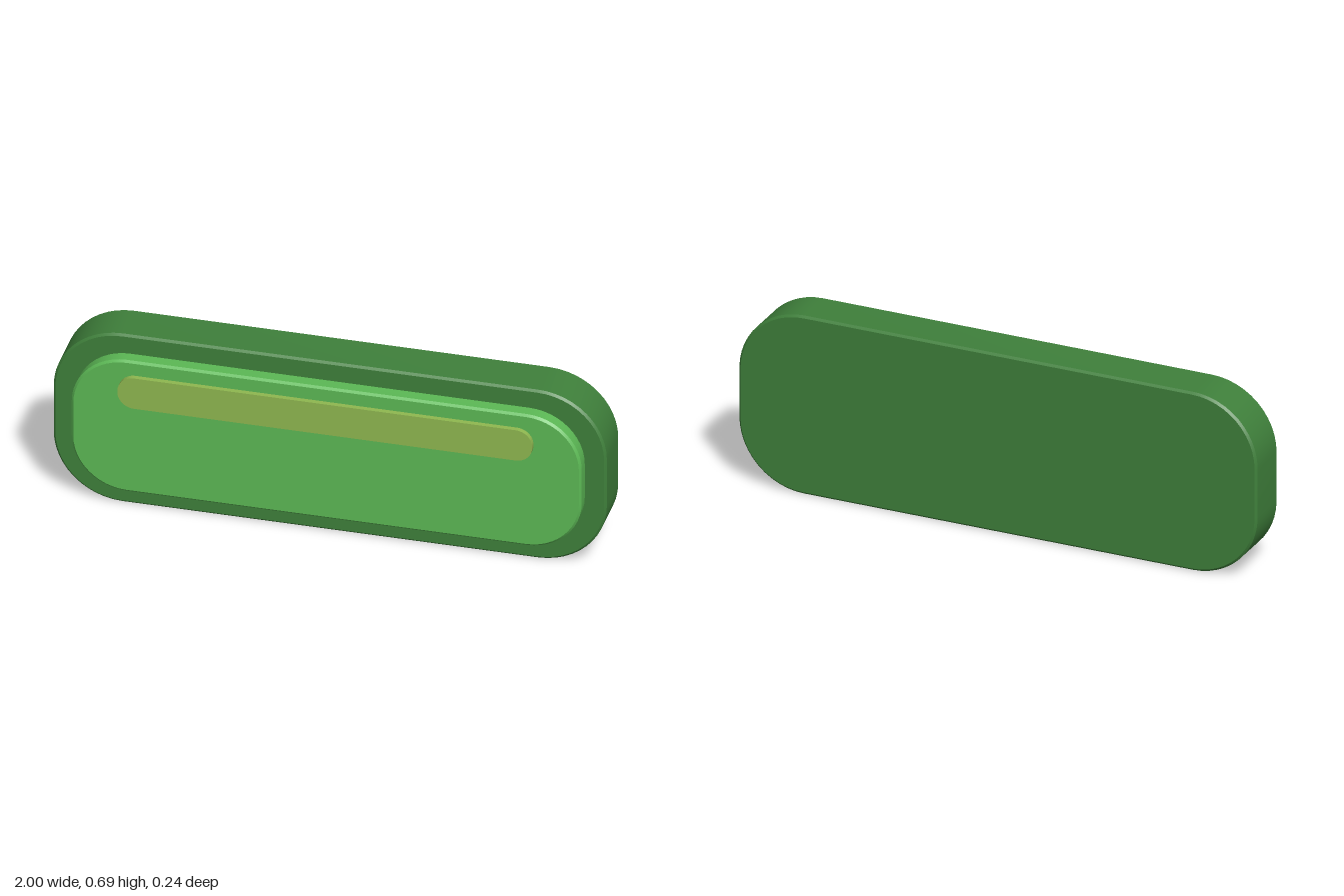
import * as THREE from 'three';
import { toCreasedNormals } from 'three/addons/utils/BufferGeometryUtils.js';

const mat = (name, color) => new THREE.MeshStandardMaterial({ name, color });

// Rounded rectangle centred on x = 0, from y0 to y1
function roundedRect(halfW, y0, y1, r) {
  const s = new THREE.Shape();
  s.absarc(halfW - r, y0 + r, r, -Math.PI / 2, 0);
  s.absarc(halfW - r, y1 - r, r, 0, Math.PI / 2);
  s.absarc(-halfW + r, y1 - r, r, Math.PI / 2, Math.PI);
  s.absarc(-halfW + r, y0 + r, r, Math.PI, Math.PI * 1.5);
  s.closePath();
  return s;
}

// Slab from z0 to z1 with a small bevel kept inside the given size
function slab(name, material, { halfW, y0, y1, r, z0, z1, bevel = 0 }) {
  const shape = roundedRect(halfW - bevel, y0 + bevel, y1 - bevel, r - bevel);
  const geo = new THREE.ExtrudeGeometry(shape, {
    depth: z1 - z0 - 2 * bevel,
    curveSegments: 6,
    bevelEnabled: bevel > 0,
    bevelThickness: bevel,
    bevelSize: bevel,
    bevelSegments: 1,
  });
  geo.translate(0, 0, z0 + bevel);
  const mesh = new THREE.Mesh(toCreasedNormals(geo, 0.6), material);
  mesh.name = name;
  return mesh;
}

export function createModel() {
  const group = new THREE.Group();
  group.name = 'button';
  group.add(
    // Dark backing plate
    slab('backPlate', mat('dark green', 0x3f803b),
      { halfW: 1, y0: 0, y1: 0.687, r: 0.25, z0: -0.121, z1: 0.052, bevel: 0.008 }),
    // Raised face
    slab('facePanel', mat('bright green', 0x5cb955),
      { halfW: 0.922, y0: 0.077, y1: 0.613, r: 0.2, z0: 0.03, z1: 0.103, bevel: 0.008 }),
    // Highlight strip near the top
    slab('highlightStrip', mat('yellow green', 0x8fb850),
      { halfW: 0.75, y0: 0.433, y1: 0.557, r: 0.06, z0: 0.095, z1: 0.122 }),
  );
  return group;
}
